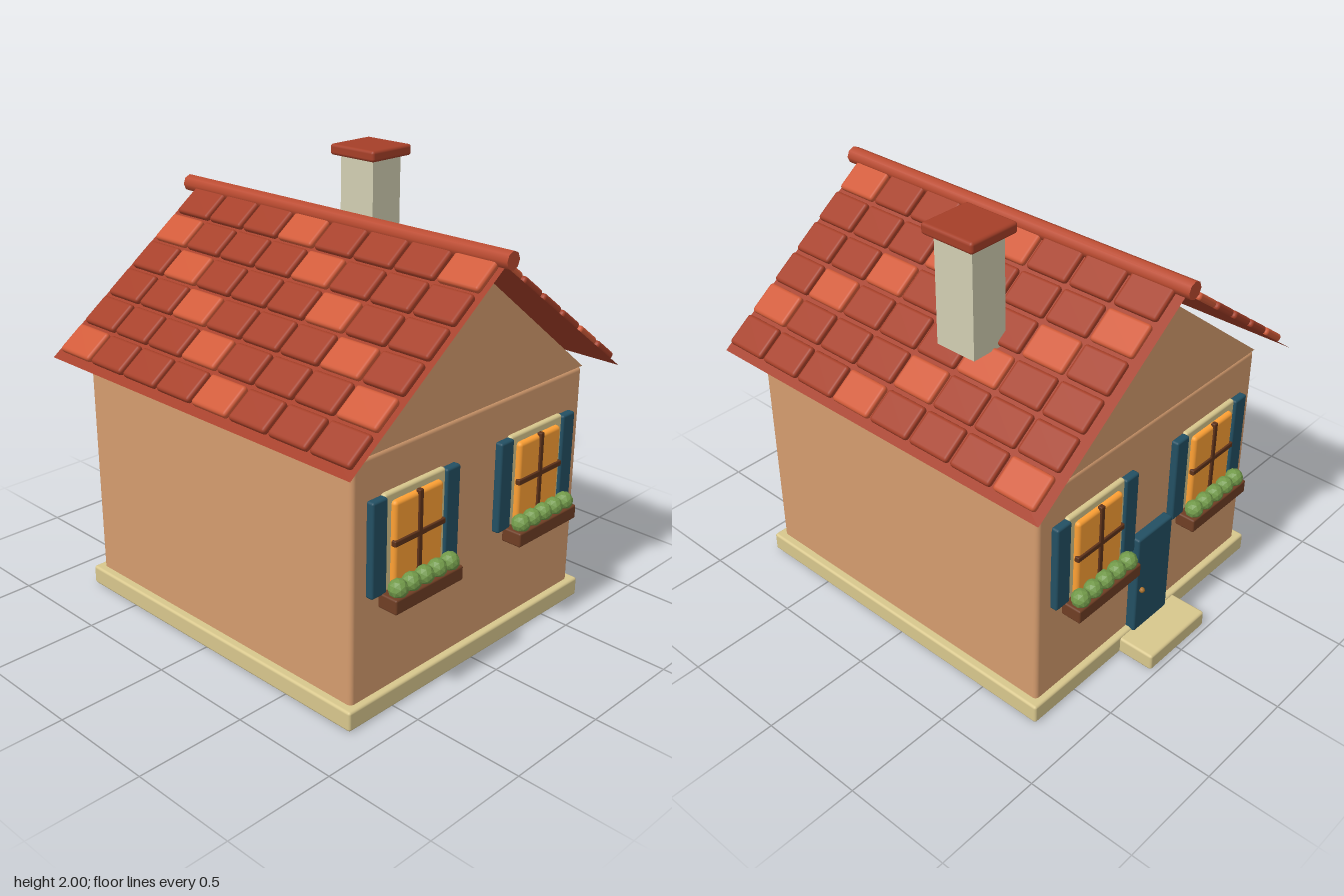
import * as THREE from 'three';
import { RoundedBoxGeometry } from 'three/addons/geometries/RoundedBoxGeometry.js';

const mat = (color, extra = {}) => Object.assign(new THREE.MeshStandardMaterial({ color }), extra);
const M = {
  wall: mat(0xd59c6e), stone: mat(0xd8c78d), shutter: mat(0x235063), pane: mat(0xffa134),
  wood: mat(0x6f3e24), bar: mat(0x5f331a), leaf: mat(0x729a4a, { flatShading: true }),
  tile: mat(0xa53f28), tileLight: mat(0xd05a38), ridge: mat(0xbc4b30),
  chimney: mat(0xd2cfb2), knob: mat(0xa8702c),
  gable: mat(0xd59c6e, { side: THREE.DoubleSide }),
  roofSheet: mat(0xa53f28, { side: THREE.DoubleSide }),
};
const ZC = 0.0325;          // centre of the house body in z
const WALL_Z = 0.8075;      // half depth of the walls

function add(parent, name, geo, material, x = 0, y = 0, z = 0) {
  const mesh = new THREE.Mesh(geo, material);
  mesh.name = name;
  mesh.position.set(x, y, z);
  parent.add(mesh);
  return mesh;
}

// Rounded box given by its min and max on each axis
function block(parent, name, material, [x0, x1], [y0, y1], [z0, z1], r = 0.008) {
  const geo = new RoundedBoxGeometry(x1 - x0, y1 - y0, z1 - z0, 2, r);
  return add(parent, name, geo, material, (x0 + x1) / 2, (y0 + y1) / 2, (z0 + z1) / 2);
}

// Window facing +z, with z = 0 on the wall surface
function makeWindow() {
  const g = new THREE.Group();
  g.name = 'window';
  block(g, 'windowFrame', M.stone, [-0.178, 0.178], [0.54, 0.963], [-0.01, 0.022], 0.012);
  block(g, 'windowPane', M.pane, [-0.142, 0.142], [0.55, 0.928], [0.005, 0.045], 0.017);
  block(g, 'verticalBar', M.bar, [-0.012, 0.012], [0.55, 0.938], [0.03, 0.053], 0.005);
  block(g, 'horizontalBar', M.bar, [-0.148, 0.148], [0.739, 0.765], [0.03, 0.053], 0.005);
  for (const s of [-1, 1])
    block(g, 'shutter', M.shutter, [s * 0.213 - 0.042, s * 0.213 + 0.042], [0.545, 0.957], [-0.005, 0.034], 0.01);
  block(g, 'flowerBox', M.wood, [-0.2, 0.2], [0.487, 0.552], [0.012, 0.11], 0.008);
  for (let i = -2; i <= 2; i++)
    add(g, 'plant', new THREE.IcosahedronGeometry(0.042, 1), M.leaf, i * 0.0765, 0.576, 0.075);
  return g;
}

// One roof slope, s = +1 or -1 in x
function makeSlope(s) {
  const g = new THREE.Group();
  g.name = 'roofSlope';
  const angle = Math.atan2(0.617, 0.84);
  const sheet = new THREE.PlaneGeometry(Math.hypot(0.617, 0.84), 1.825).rotateX(-Math.PI / 2);
  add(g, 'roofSheet', sheet, M.roofSheet, s * 0.42, 1.4455, ZC).rotation.z = -s * angle;
  const tile = new RoundedBoxGeometry(0.152, 0.036, 0.207, 2, 0.015);
  for (let row = 0; row < 8; row++)
    for (let j = 0; j < 6; j++) {
      const material = (row + j) % 4 === 0 ? M.tileLight : M.tile;
      const t = add(g, 'roofTile', tile, material,
        s * (0.76 - 0.137 * j), 1.219 + 0.1005 * j, 0.0425 + (row - 3.5) * 0.2232);
      t.rotation.z = -s * angle;
    }
  return g;
}

export function createModel() {
  const house = new THREE.Group();
  house.name = 'house';

  // Body
  block(house, 'foundation', M.stone, [-0.758, 0.758], [0.001, 0.09], [ZC - 0.8385, ZC + 0.8385], 0.012);
  block(house, 'walls', M.wall, [-0.72, 0.72], [0, 1.138], [ZC - WALL_Z, ZC + WALL_Z], 0.02);

  // Gables, front and back
  const tri = new THREE.Shape([
    new THREE.Vector2(-0.72, 1.138), new THREE.Vector2(0.72, 1.138), new THREE.Vector2(0, 1.703),
  ]);
  for (const s of [1, -1]) {
    const gable = add(house, 'gable', new THREE.ShapeGeometry(tri), M.gable, 0, 0, ZC + s * WALL_Z);
    if (s < 0) gable.rotation.y = Math.PI;
  }

  // Windows, two on the front and two on the back
  for (const face of [1, -1])
    for (const s of [1, -1]) {
      const w = makeWindow();
      w.position.set(s * 0.386, 0, ZC + face * WALL_Z);
      if (face < 0) w.rotation.y = Math.PI;
      house.add(w);
    }

  // Back door and doorstep
  block(house, 'door', M.shutter, [-0.118, 0.118], [0.075, 0.59], [-0.82, -0.765], 0.01);
  add(house, 'doorKnob', new THREE.SphereGeometry(0.013, 12, 8), M.knob, 0.086, 0.304, -0.827);
  block(house, 'doorstep', M.stone, [-0.195, 0.195], [0.001, 0.08], [-0.977, -0.79], 0.012);

  // Roof
  house.add(makeSlope(1), makeSlope(-1));
  const ridge = new THREE.CylinderGeometry(0.039, 0.039, 1.894, 8).rotateX(Math.PI / 2);
  add(house, 'roofRidge', ridge, M.ridge, 0, 1.783, ZC);

  // Chimney
  add(house, 'chimney', new THREE.BoxGeometry(0.18, 0.495, 0.2), M.chimney, 0.462, 1.7125, -0.192);
  block(house, 'chimneyCap', M.tile, [0.335, 0.59], [1.949, 2], [-0.327, -0.058], 0.014);

  return house;
}
